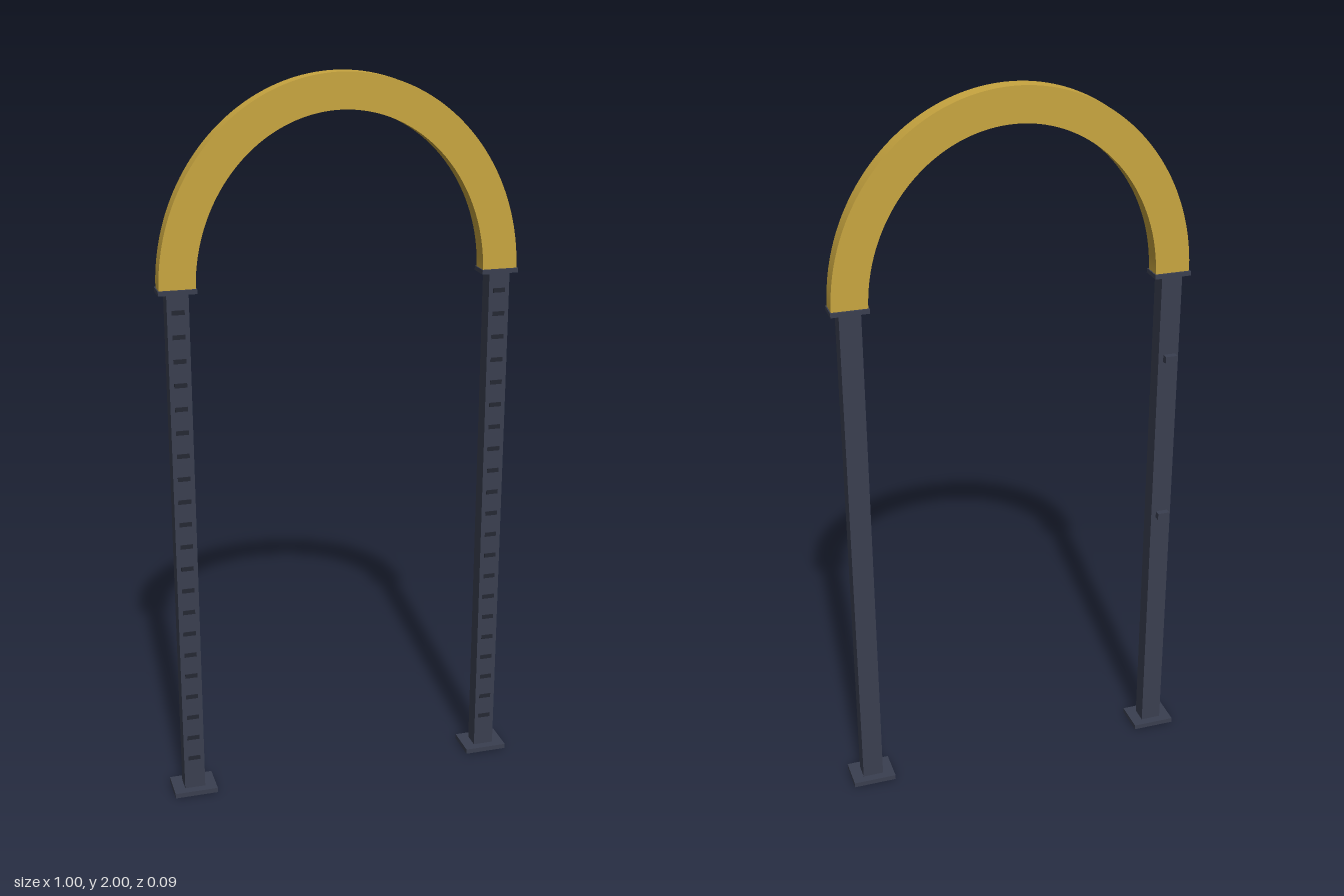
import * as THREE from 'three';
import { toCreasedNormals } from 'three/addons/utils/BufferGeometryUtils.js';

const gold = new THREE.MeshStandardMaterial({ color: 0xc9a640 });
gold.name = 'gold';
const slate = new THREE.MeshStandardMaterial({ color: 0x3a3f50 });
slate.name = 'slate';
const dark = new THREE.MeshStandardMaterial({ color: 0x252833 });
dark.name = 'dark slate';

const POST_X = 0.439, SPRING_Y = 1.465;

function box(parent, name, material, size, position) {
  const mesh = new THREE.Mesh(new THREE.BoxGeometry(...size), material);
  mesh.name = name;
  mesh.position.set(...position);
  parent.add(mesh);
  return mesh;
}

// Half-elliptical band of rectangular section
function createArch() {
  const shape = new THREE.Shape();
  shape.moveTo(0.487, 0);
  shape.absellipse(0, 0, 0.487, 0.535, 0, Math.PI, false);
  shape.lineTo(-0.391, 0);
  shape.absellipse(0, 0, 0.391, 0.441, Math.PI, 0, true);
  shape.closePath();
  const geometry = new THREE.ExtrudeGeometry(shape, { depth: 0.048, bevelEnabled: false, curveSegments: 48 });
  geometry.translate(0, SPRING_Y, -0.024);
  const arch = new THREE.Mesh(toCreasedNormals(geometry, 0.5), gold);
  arch.name = 'arch';
  return arch;
}

// Post with foot plate, collar and a ladder of slots on the front
function createPost(side) {
  const post = new THREE.Group();
  post.name = side > 0 ? 'leftPost' : 'rightPost';
  post.position.x = side * POST_X;
  box(post, 'footPlate', slate, [0.122, 0.014, 0.094], [0, 0.007, 0]);
  box(post, 'upright', slate, [0.058, 1.45, 0.048], [0, 0.735, 0]);
  box(post, 'collar', slate, [0.102, 0.012, 0.06], [0, 1.463, 0]);
  for (let i = 0; i < 21; i++) {
    box(post, 'slot', dark, [0.034, 0.012, 0.003], [0, 0.11 + i * 0.065, 0.0245]);
  }
  return post;
}

export function createModel() {
  const model = new THREE.Group();
  model.name = 'archway';
  model.add(createArch());
  for (const side of [-1, 1]) model.add(createPost(side));
  // Two catches on the back of the right post
  for (const y of [0.735, 1.223]) {
    box(model, 'catch', slate, [0.034, 0.02, 0.02], [-0.441, y, -0.032]);
  }
  return model;
}
